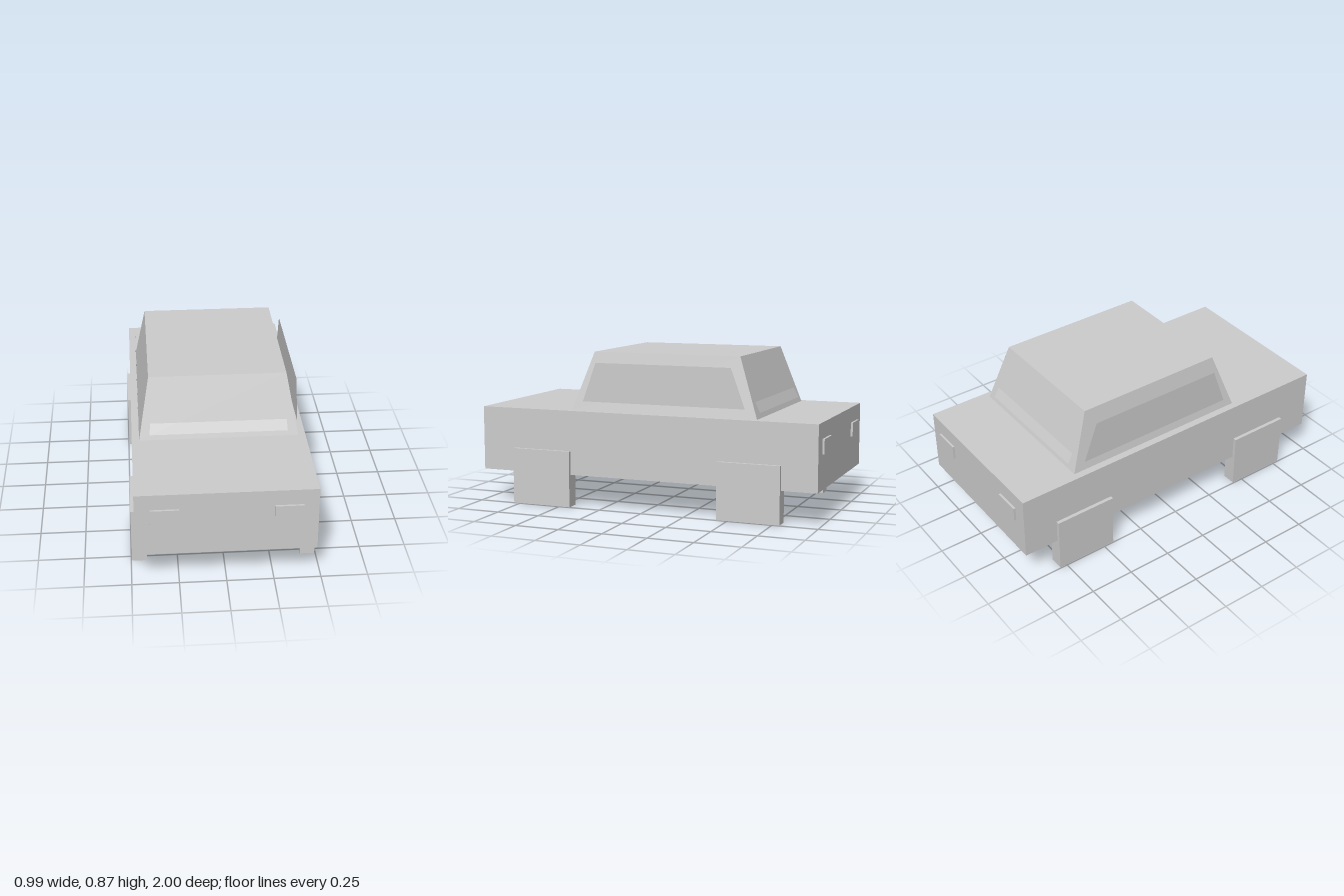
import * as THREE from 'three';

// Thin-walled shells and single-sheet panes, so both faces must show
const paint = new THREE.MeshStandardMaterial({ color: 0xcccccc, side: THREE.DoubleSide });
paint.name = 'light grey';

function addMesh(group, name, geometry) {
  const mesh = new THREE.Mesh(geometry, paint);
  mesh.name = name;
  group.add(mesh);
  return mesh;
}

// Box without its underside, spanning the given bounds
function openBox([x0, x1], [y0, y1], [z0, z1]) {
  const g = new THREE.BoxGeometry(x1 - x0, y1 - y0, z1 - z0);
  const index = Array.from(g.index.array);
  index.splice(18, 6); // the six indices of the bottom face
  g.setIndex(index);
  g.clearGroups();
  return g.translate((x0 + x1) / 2, (y0 + y1) / 2, (z0 + z1) / 2);
}

// Flat four-cornered sheet, corners counter-clockwise from outside
function pane(corners) {
  const g = new THREE.BufferGeometry();
  g.setAttribute('position', new THREE.Float32BufferAttribute(corners.flat(), 3));
  g.setIndex([0, 1, 2, 0, 2, 3]);
  g.computeVertexNormals();
  return g;
}

export function createModel() {
  const car = new THREE.Group();
  car.name = 'car';
  const cabinZ = -0.1;

  // Body shell, open underneath
  addMesh(car, 'body', openBox([-0.475, 0.475], [0.182, 0.545], [-0.988, 0.988]));

  // Cabin: a box tapering towards the roof
  const cabin = openBox([-0.435, 0.435], [0.545, 0.872], [-0.5425, 0.5425]);
  const p = cabin.attributes.position;
  for (let i = 0; i < p.count; i++) {
    if (p.getY(i) > 0.7) {
      p.setX(i, p.getX(i) * 0.862);
      p.setZ(i, p.getZ(i) * 0.788);
    }
  }
  cabin.computeVertexNormals();
  addMesh(car, 'cabin', cabin).position.z = cabinZ;

  for (const s of [1, -1]) {
    const side = s > 0 ? 'left' : 'right';
    const end = s > 0 ? 'front' : 'rear';

    // Upright side windows, standing proud of the sloping cabin wall
    const sideWindow = [
      [s * 0.436, 0.597, s * 0.475], [s * 0.436, 0.597, -s * 0.475],
      [s * 0.436, 0.815, -s * 0.395], [s * 0.436, 0.815, s * 0.395],
    ];
    addMesh(car, side + 'Window', pane(sideWindow)).position.z = cabinZ;

    // Windscreen and rear window, leaning into the cabin
    const screen = [
      [-s * 0.377, 0.575, s * 0.541], [s * 0.377, 0.575, s * 0.541],
      [s * 0.36, 0.84, s * 0.405], [-s * 0.36, 0.84, s * 0.405],
    ];
    addMesh(car, s > 0 ? 'windscreen' : 'rearWindow', pane(screen)).position.z = cabinZ;

    // Lamps and block wheels, one of each per corner
    for (const x of [1, -1]) {
      const corner = end + (x > 0 ? 'Left' : 'Right');
      const span = (a, b, k) => (k > 0 ? [a, b] : [-b, -a]);
      addMesh(car, corner + 'Lamp',
        openBox(span(0.246, 0.396, x), [0.377, 0.457], span(0.98, 1, s)));
      addMesh(car, corner + 'Wheel',
        openBox(span(0.416, 0.495, x), [0, 0.317], span(0.437, 0.79, s)));
    }
  }
  return car;
}
